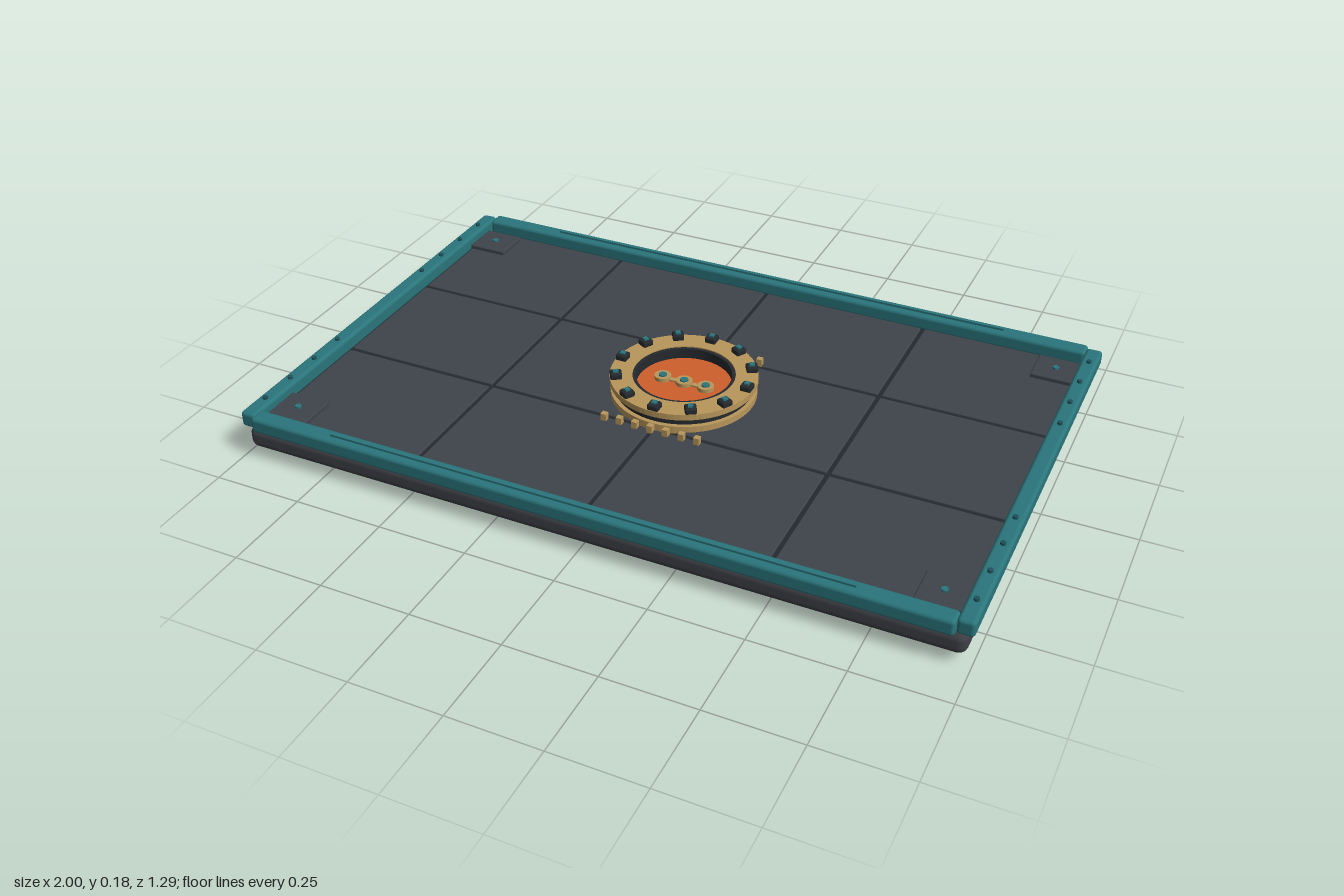
import * as THREE from 'three';
import { RoundedBoxGeometry } from 'three/addons/geometries/RoundedBoxGeometry.js';

const mat = (name, color) => {
  const m = new THREE.MeshStandardMaterial({ color });
  m.name = name;
  return m;
};

export function createModel() {
  const slabGrey = mat('slabGrey', 0x3d4046);
  const panelGrey = mat('panelGrey', 0x3f444b);
  const seamDark = mat('seamDark', 0x25292d);
  const teal = mat('teal', 0x2a757b);
  const darkTeal = mat('darkTeal', 0x1d5258);
  const gold = mat('gold', 0xb8965a);
  const orange = mat('orange', 0xcd5f2c);

  const root = new THREE.Group();
  root.name = 'deckPlate';

  const add = (name, geo, material, x, y, z, parent = root) => {
    const mesh = new THREE.Mesh(geo, material);
    mesh.name = name;
    mesh.position.set(x, y, z);
    parent.add(mesh);
    return mesh;
  };
  const box = (w, h, d) => new THREE.BoxGeometry(w, h, d);
  const rounded = (w, h, d, r) => new RoundedBoxGeometry(w, h, d, 3, r);

  // Flat ring lying in the xz plane, its underside at y = 0
  const ring = (outer, inner, height) => {
    const shape = new THREE.Shape().absarc(0, 0, outer, 0, Math.PI * 2, false);
    shape.holes.push(new THREE.Path().absarc(0, 0, inner, 0, Math.PI * 2, true));
    const geo = new THREE.ExtrudeGeometry(shape, { depth: height, bevelEnabled: false, curveSegments: 32 });
    return geo.rotateX(-Math.PI / 2);
  };

  // Base slab and the foot beneath it
  add('baseSlab', rounded(1.97, 0.065, 1.262, 0.024), slabGrey, 0, 0.0585, 0);
  add('foot', rounded(0.406, 0.05, 0.468, 0.02), slabGrey, 0, 0.025, 0);
  add('seamBed', box(1.92, 0.012, 1.2), seamDark, 0, 0.088, 0);

  // Floor panels, four by three, with open seams
  const xs = [-0.957, -0.49, 0, 0.49, 0.957];
  const zs = [-0.597, -0.2, 0.195, 0.597];
  const seam = 0.012;
  for (let i = 0; i < 4; i++) {
    for (let j = 0; j < 3; j++) {
      const w = xs[i + 1] - xs[i] - seam;
      const d = zs[j + 1] - zs[j] - seam;
      add('floorPanel', rounded(w, 0.014, d, 0.003), panelGrey,
        (xs[i] + xs[i + 1]) / 2, 0.093, (zs[j] + zs[j + 1]) / 2);
    }
  }

  for (const s of [-1, 1]) {
    // Border rails
    add('longRail', rounded(1.914, 0.045, 0.05, 0.01), teal, 0, 0.1125, s * 0.62);
    add('longRailStrip', box(1.434, 0.006, 0.008), teal, 0, 0.138, s * 0.62);
    add('sideRail', rounded(0.045, 0.045, 1.26, 0.01), teal, s * 0.9775, 0.1125, 0);
    // Rivets on the side rails
    for (const z of [0.22, 0.33, 0.44, 0.55]) {
      for (const t of [-1, 1]) {
        add('railRivet', new THREE.CylinderGeometry(0.007, 0.007, 0.008, 10), darkTeal, s * 0.9775, 0.138, t * z);
      }
    }
    // Corner pads with small studs
    for (const t of [-1, 1]) {
      add('cornerPad', rounded(0.118, 0.016, 0.11, 0.004), panelGrey, s * 0.896, 0.104, t * 0.52);
      add('padStud', new THREE.CylinderGeometry(0.009, 0.009, 0.006, 10), teal, s * 0.896, 0.114, t * 0.52);
    }
    // Rows of teeth beside the hub
    for (let i = -3; i <= 3; i++) {
      add('tooth', box(0.016, 0.022, 0.016), gold, i * 0.045, 0.109, s * 0.212);
    }
  }

  // Round hub: stepped rings around a sunken disc
  const hub = new THREE.Group();
  hub.name = 'hub';
  root.add(hub);
  add('hubBaseRing', ring(0.2, 0.135, 0.022), gold, 0, 0.096, 0, hub);
  add('hubCollar', ring(0.188, 0.13, 0.026), seamDark, 0, 0.116, 0, hub);
  add('hubTopRing', ring(0.202, 0.14, 0.017), gold, 0, 0.14, 0, hub);
  add('hubInnerLip', ring(0.141, 0.13, 0.054), seamDark, 0, 0.1, 0, hub);
  add('hubDisc', new THREE.CylinderGeometry(0.132, 0.132, 0.025, 48), orange, 0, 0.1125, 0, hub);

  // Twelve clamps around the hub
  for (let i = 0; i < 12; i++) {
    const a = (i * Math.PI) / 6;
    const clamp = new THREE.Group();
    clamp.name = 'clamp';
    clamp.position.set(Math.cos(a) * 0.185, 0, Math.sin(a) * 0.185);
    clamp.rotation.y = -a;
    hub.add(clamp);
    add('clampBlock', rounded(0.032, 0.018, 0.032, 0.005), seamDark, 0, 0.164, 0, clamp);
    add('clampCap', box(0.014, 0.006, 0.014), teal, 0, 0.175, 0, clamp);
  }

  // Linked handle in the middle of the disc
  add('handleBar', box(0.13, 0.006, 0.014), gold, 0, 0.127, 0, hub);
  for (const x of [-0.064, 0, 0.064]) {
    add('handleRing', ring(0.023, 0.012, 0.012), gold, x, 0.124, 0, hub);
    add('handlePin', new THREE.CylinderGeometry(0.011, 0.011, 0.016, 14), teal, x, 0.131, 0, hub);
  }

  return root;
}
